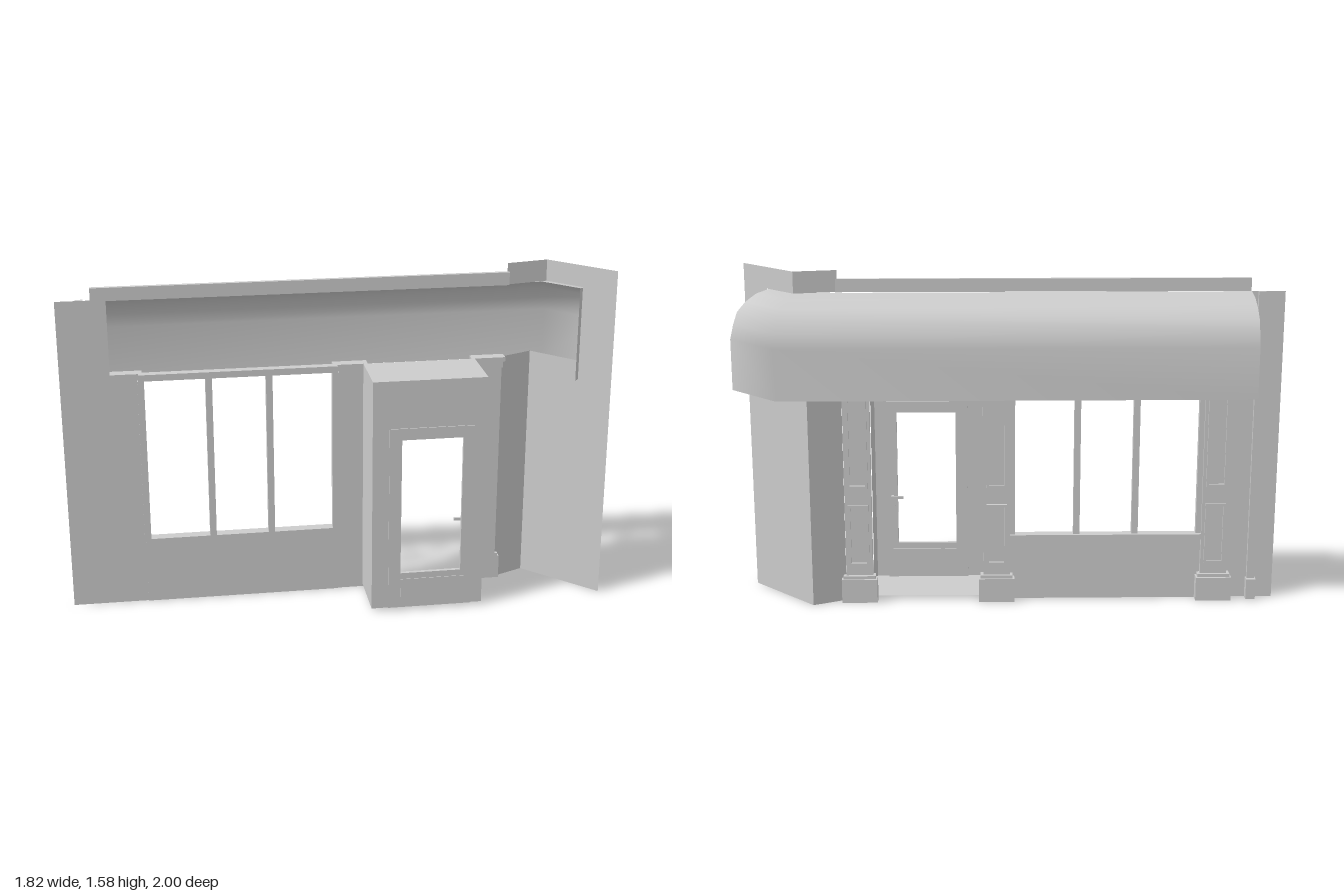
import * as THREE from 'three';

export function createModel() {
  const model = new THREE.Group();
  model.name = 'cornerShopfront';
  const grey = new THREE.MeshStandardMaterial({ color: 0xcccccc, side: THREE.DoubleSide });
  grey.name = 'plain grey';

  // Facade frame: local x runs along the front, outward is local -z
  const facade = new THREE.Group();
  facade.name = 'facade';
  facade.rotation.y = -Math.PI / 4;
  model.add(facade);

  const add = (parent, name, geo) => {
    const m = new THREE.Mesh(geo, grey);
    m.name = name;
    parent.add(m);
    return m;
  };
  // Box given by ranges along the facade (u), height (y) and outward (n)
  const box = (parent, name, u0, u1, y0, y1, n0, n1) => {
    const m = add(parent, name, new THREE.BoxGeometry(u1 - u0, y1 - y0, n1 - n0));
    m.position.set((u0 + u1) / 2, (y0 + y1) / 2, -(n0 + n1) / 2);
    return m;
  };
  // Thin upright sheet between two ground points [x, z]
  const sheet = (parent, name, a, b, y0, y1) => {
    const dx = b[0] - a[0], dz = b[1] - a[1];
    const m = add(parent, name, new THREE.PlaneGeometry(Math.hypot(dx, dz), y1 - y0));
    m.position.set((a[0] + b[0]) / 2, (y0 + y1) / 2, (a[1] + b[1]) / 2);
    m.rotation.y = -Math.atan2(dz, dx);
    return m;
  };
  const rectPath = (T, x0, x1, y0, y1) => {
    const p = new T();
    p.moveTo(x0, y0); p.lineTo(x1, y0); p.lineTo(x1, y1); p.lineTo(x0, y1); p.closePath();
    return p;
  };
  // Rectangular frame with an opening, extruded outward
  const frame = (parent, name, outer, inner, n0, depth) => {
    const s = rectPath(THREE.Shape, ...outer);
    s.holes.push(rectPath(THREE.Path, ...inner));
    const m = add(parent, name, new THREE.ExtrudeGeometry(s, { depth, bevelEnabled: false }));
    m.position.z = -(n0 + depth);
    return m;
  };

  // Pilasters with plinth, capital and two framed panels
  for (const c of [-1.007, 0.022, 0.67]) {
    const p = new THREE.Group();
    p.name = 'pilaster';
    facade.add(p);
    box(p, 'pilasterShaft', c - 0.063, c + 0.063, 0, 1.08, 0, 0.03);
    box(p, 'plinth', c - 0.084, c + 0.084, 0, 0.115, 0, 0.055);
    box(p, 'plinthCap', c - 0.076, c + 0.076, 0.115, 0.13, 0, 0.045);
    box(p, 'capitalNeck', c - 0.07, c + 0.07, 1.08, 1.11, 0, 0.04);
    box(p, 'capital', c - 0.08, c + 0.08, 1.11, 1.13, 0, 0.052);
    for (const [y0, y1] of [[0.18, 0.48], [0.56, 1.03]]) {
      frame(p, 'panelMoulding', [c - 0.048, c + 0.048, y0, y1],
        [c - 0.036, c + 0.036, y0 + 0.014, y1 - 0.014], 0.03, 0.012);
    }
  }

  // Shop window: low wall, sill, header, side jambs and mullions
  box(facade, 'lowWall', -0.945, -0.04, 0, 0.3, -0.005, 0.005);
  box(facade, 'windowSill', -0.945, -0.04, 0.3, 0.325, -0.02, 0.03);
  box(facade, 'windowHeader', -0.945, -0.04, 1.1, 1.13, -0.02, 0.02);
  for (const u of [-0.935, -0.63, -0.355, -0.05]) {
    box(facade, 'mullion', u - 0.015, u + 0.015, 0.325, 1.1, -0.02, 0.015);
  }

  // Recessed entrance: sides, floor, ceiling and back wall with a glazed door opening
  const entrance = new THREE.Group();
  entrance.name = 'entrance';
  facade.add(entrance);
  const u0 = 0.081, u1 = 0.604, back = -0.272;
  for (const u of [u0, u1]) sheet(entrance, 'entranceSide', [u, 0], [u, -back], 0.015, 1.13);
  for (const [name, y] of [['entranceFloor', 0.015], ['entranceCeiling', 1.13]]) {
    const m = add(entrance, name, new THREE.PlaneGeometry(u1 - u0, -back));
    m.rotation.x = -Math.PI / 2;
    m.position.set((u0 + u1) / 2, y, -back / 2);
  }
  const opening = [0.215, 0.498, 0.19, 0.85];
  frame(entrance, 'entranceBackWall', [u0, u1, 0.015, 1.13], opening, back, 0.004);
  frame(entrance, 'doorFrame', [0.158, 0.547, 0.015, 0.905], opening, back - 0.005, 0.018);
  box(entrance, 'doorLowerPanel', 0.215, 0.525, 0.045, 0.16, back - 0.008, back + 0.02);
  box(entrance, 'doorHandlePlate', 0.512, 0.53, 0.38, 0.47, back + 0.013, back + 0.02);
  box(entrance, 'doorHandle', 0.47, 0.53, 0.425, 0.437, back + 0.03, back + 0.042);
  box(entrance, 'handleStem', 0.516, 0.528, 0.425, 0.437, back + 0.013, back + 0.035);

  // Fascia board above the awning
  box(facade, 'fascia', -1.138, 0.75, 1.48, 1.54, -0.02, 0);

  // End wall strip and slim corner trim
  sheet(facade, 'endWall', [-1.294, 0], [-1.07, 0], 0, 1.48);
  box(facade, 'endTrim', -1.205, -1.17, 0, 1.48, 0, 0.02);
  box(facade, 'endTrimFoot', -1.21, -1.165, 0, 0.1, 0, 0.04);

  // Corner wall: short angled return, then the side wall notched for the awning
  sheet(model, 'cornerWall', [0.53, 0.51], [0.685, 0.57], 0, 1.13);
  sheet(model, 'cornerParapet', [0.52, 0.53], [0.685, 0.64], 1.48, 1.58);
  const side = new THREE.Shape([
    [0.57, 0], [1, 0], [1, 1.58], [0.64, 1.58], [0.64, 1.48], [0.83, 1.48], [0.83, 1.13], [0.57, 1.13],
  ].map(([z, y]) => new THREE.Vector2(z, y)));
  const sideWall = add(model, 'sideWall', new THREE.ShapeGeometry(side));
  sideWall.rotation.y = -Math.PI / 2;
  sideWall.position.x = 0.685;

  // Awning: one profile swept along the front and round the corner
  const profile = [[0, 1.48], [0.12, 1.475], [0.36, 1.465], [0.62, 1.435], [0.82, 1.395], [0.92, 1.34], [1, 1.275], [1, 1.04]];
  const stations = [ // inner x, z and outer x, z
    [-0.803, -0.808, -0.61, -1], [0.66, 0.635, 0.903, 0.515], [0.66, 0.83, 0.903, 0.83],
  ];
  const ring = ([ax, az, bx, bz]) => profile.map(([t, y]) => [ax + (bx - ax) * t, y, az + (bz - az) * t]);
  const cols = profile.length, index = [];
  for (let i = 0; i < stations.length - 1; i++) {
    for (let j = 0; j < cols - 1; j++) {
      const a = i * cols + j, b = a + cols;
      index.push(a, b, a + 1, b, b + 1, a + 1);
    }
  }
  const cover = new THREE.BufferGeometry();
  cover.setAttribute('position', new THREE.Float32BufferAttribute(stations.map(ring).flat(2), 3));
  cover.setIndex(index);
  cover.computeVertexNormals();
  add(model, 'awningCover', cover);

  // Awning end caps
  for (const s of [stations[0], stations[2]]) {
    const w = Math.hypot(s[2] - s[0], s[3] - s[1]);
    const shape = new THREE.Shape([...profile, [0, 1.04]].map(([t, y]) => new THREE.Vector2(t * w, y)));
    const cap = add(model, 'awningEnd', new THREE.ShapeGeometry(shape));
    cap.position.set(s[0], 0, s[1]);
    cap.rotation.y = -Math.atan2(s[3] - s[1], s[2] - s[0]);
  }
  return model;
}
